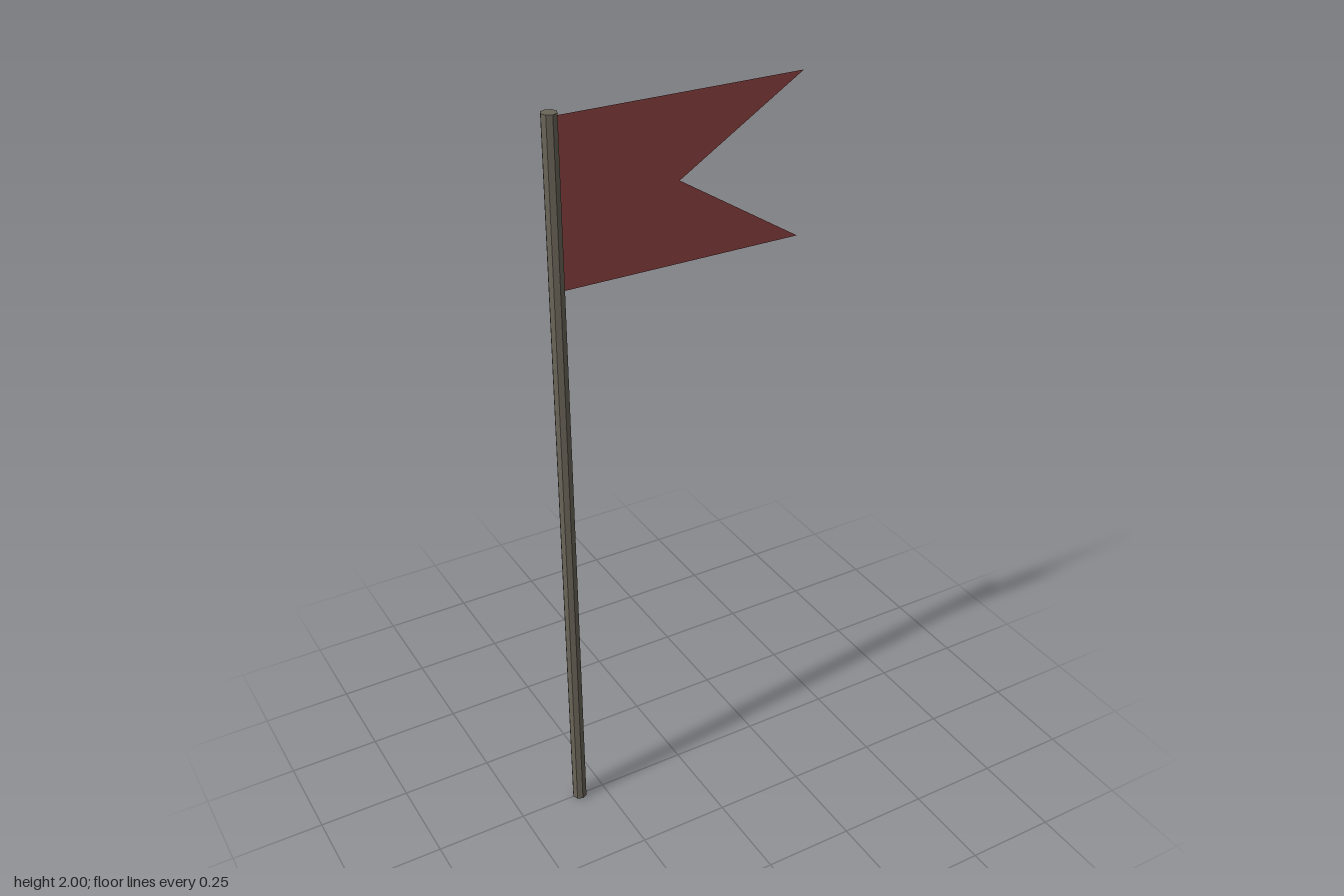
import * as THREE from 'three';

export function createModel() {
  const group = new THREE.Group();
  const poleX = -0.323;
  const poleRadius = 0.02;

  // Eight-sided pole
  const pole = new THREE.Mesh(
    new THREE.CylinderGeometry(poleRadius, poleRadius, 2, 8),
    new THREE.MeshStandardMaterial({ color: 0x6b6558, flatShading: true })
  );
  pole.name = 'pole';
  pole.position.set(poleX, 1, 0);
  group.add(pole);

  // Flat swallow-tailed flag, attached to the pole
  const outline = new THREE.Shape([
    new THREE.Vector2(poleX + poleRadius, 1.57),
    new THREE.Vector2(0.343, 1.57),
    new THREE.Vector2(0.005, 1.78),
    new THREE.Vector2(0.343, 1.99),
    new THREE.Vector2(poleX + poleRadius, 1.99),
  ]);
  const flag = new THREE.Mesh(
    new THREE.ShapeGeometry(outline),
    new THREE.MeshStandardMaterial({ color: 0x944444, side: THREE.DoubleSide })
  );
  flag.name = 'flag';
  group.add(flag);

  return group;
}
